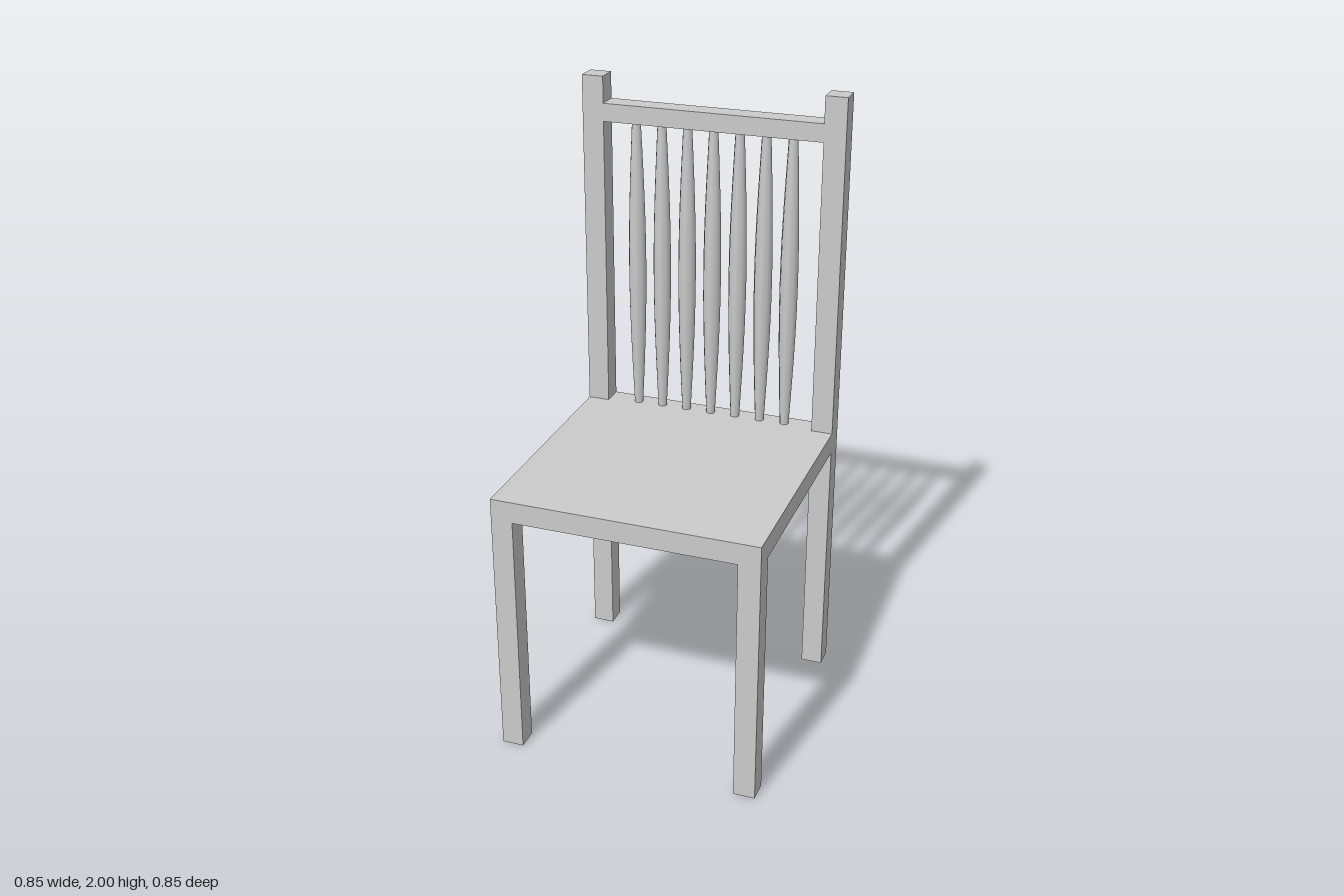
import * as THREE from 'three';

const material = new THREE.MeshStandardMaterial({ color: 0xcccccc });
const HALF = 0.427;          // half the seat width and depth
const POST = 0.07;           // thickness of legs and posts
const SEAT_BOTTOM = 0.823, SEAT_TOP = 0.893;
const RAIL_BOTTOM = 1.857, RAIL_TOP = 1.915;
const EDGE = HALF - POST / 2; // centre line of legs and posts

function addBox(group, name, width, depth, bottom, top, x, z) {
  const mesh = new THREE.Mesh(new THREE.BoxGeometry(width, top - bottom, depth), material);
  mesh.name = name;
  mesh.position.set(x, (bottom + top) / 2, z);
  group.add(mesh);
}

export function createModel() {
  const chair = new THREE.Group();
  chair.name = 'chair';

  // Seat slab
  addBox(chair, 'seat', HALF * 2, HALF * 2, SEAT_BOTTOM, SEAT_TOP, 0, 0);

  // Legs, with back posts rising above the seat
  for (const [side, s] of [['left', 1], ['right', -1]]) {
    addBox(chair, side + 'FrontLeg', POST, POST, 0, SEAT_BOTTOM, s * EDGE, EDGE);
    addBox(chair, side + 'BackLeg', POST, POST, 0, SEAT_BOTTOM, s * EDGE, -EDGE);
    addBox(chair, side + 'BackPost', POST, POST, SEAT_TOP, 2, s * EDGE, -EDGE);
  }

  // Top rail between the posts
  addBox(chair, 'topRail', (HALF - POST) * 2, POST, RAIL_BOTTOM, RAIL_TOP, 0, -EDGE);

  // Turned spindles, swelling towards the middle
  const profile = [];
  const steps = 12;
  for (let i = 0; i <= steps; i++) {
    const t = i / steps;
    const radius = 0.015 + 0.015 * Math.sin(Math.PI * t);
    profile.push(new THREE.Vector2(radius, THREE.MathUtils.lerp(SEAT_TOP, RAIL_BOTTOM, t)));
  }
  const spindleGeometry = new THREE.LatheGeometry(profile, 8);
  const spindles = new THREE.Group();
  spindles.name = 'spindles';
  for (let i = -3; i <= 3; i++) {
    const spindle = new THREE.Mesh(spindleGeometry, material);
    spindle.name = 'spindle';
    spindle.position.set(i * 0.0855, 0, -0.384);
    spindles.add(spindle);
  }
  chair.add(spindles);

  return chair;
}
